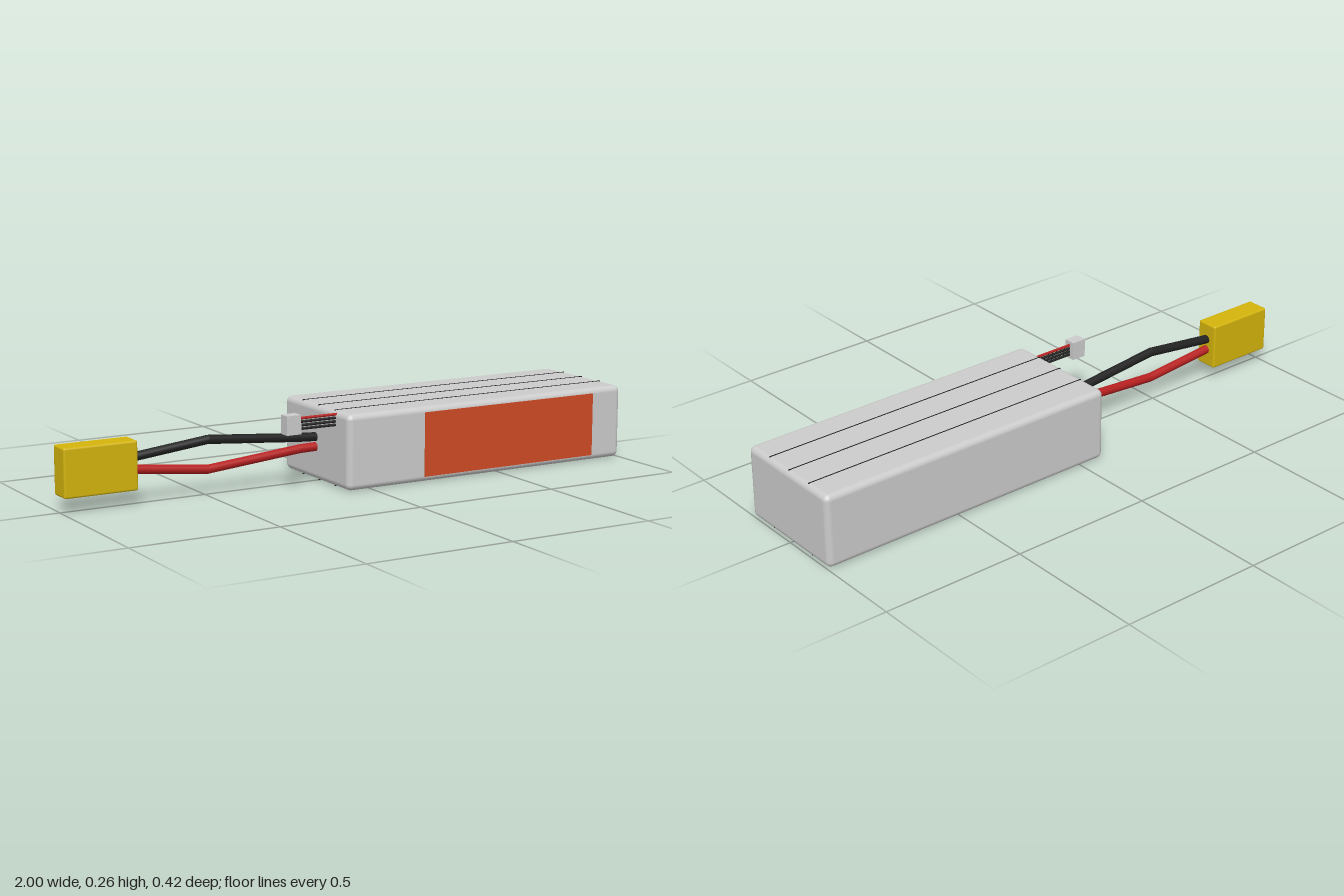
import * as THREE from 'three';
import { RoundedBoxGeometry } from 'three/addons/geometries/RoundedBoxGeometry.js';

const mat = (color) => new THREE.MeshStandardMaterial({ color });
const grey = mat(0xcccccc), black = mat(0x222222), red = mat(0xb82020);
const yellow = mat(0xd4b40c), orange = mat(0xd04a26);

export function createModel() {
  const model = new THREE.Group();

  const add = (name, geometry, material, x, y, z) => {
    const mesh = new THREE.Mesh(geometry, material);
    mesh.name = name;
    mesh.position.set(x, y, z);
    model.add(mesh);
    return mesh;
  };

  // Straight wire sections joined by round elbows
  const addWire = (name, points, radius, material) => {
    const wire = new THREE.Group();
    wire.name = name;
    const path = points.map((p) => new THREE.Vector3(...p));
    for (let i = 0; i < path.length - 1; i++) {
      const dir = path[i + 1].clone().sub(path[i]);
      const section = new THREE.Mesh(new THREE.CylinderGeometry(radius, radius, dir.length(), 12), material);
      section.name = name + 'Section';
      section.position.copy(path[i]).addScaledVector(dir, 0.5);
      section.quaternion.setFromUnitVectors(new THREE.Vector3(0, 1, 0), dir.normalize());
      wire.add(section);
      if (i > 0) {
        const elbow = new THREE.Mesh(new THREE.SphereGeometry(radius, 12, 8), material);
        elbow.name = name + 'Elbow';
        elbow.position.copy(path[i]);
        wire.add(elbow);
      }
    }
    model.add(wire);
  };

  // Battery pack with softened edges
  add('packBody', new RoundedBoxGeometry(1.09, 0.25, 0.42, 4, 0.02), grey, 0.455, 0.127, 0);

  // Front label
  add('label', new THREE.BoxGeometry(0.68, 0.215, 0.004), orange, 0.54, 0.127, 0.21);

  // Cell seams along the top and bottom
  for (const y of [0.002, 0.252]) {
    for (const z of [-0.105, 0, 0.105]) {
      add('cellSeam', new THREE.BoxGeometry(1.07, 0.003, 0.003), black, 0.455, y, z);
    }
  }

  // Main power connector and its two leads
  add('powerConnector', new RoundedBoxGeometry(0.25, 0.16, 0.08, 2, 0.007), yellow, -0.875, 0.13, 0);
  addWire('blackLead', [[-0.77, 0.148, 0], [-0.49, 0.18, 0.005], [-0.15, 0.15, -0.003], [-0.06, 0.145, -0.003]], 0.015, black);
  addWire('redLead', [[-0.77, 0.113, 0], [-0.49, 0.083, 0.005], [-0.15, 0.112, -0.003], [-0.06, 0.114, -0.003]], 0.015, red);

  // Balance plug and its row of thin wires
  add('balancePlug', new THREE.BoxGeometry(0.052, 0.063, 0.04), grey, -0.253, 0.2255, 0.126);
  [black, black, black, red].forEach((material, i) => {
    const y = 0.208 + i * 0.0115;
    addWire('balanceWire', [[-0.24, y, 0.126], [-0.06, y, 0.126]], 0.0045, material);
  });

  return model;
}
